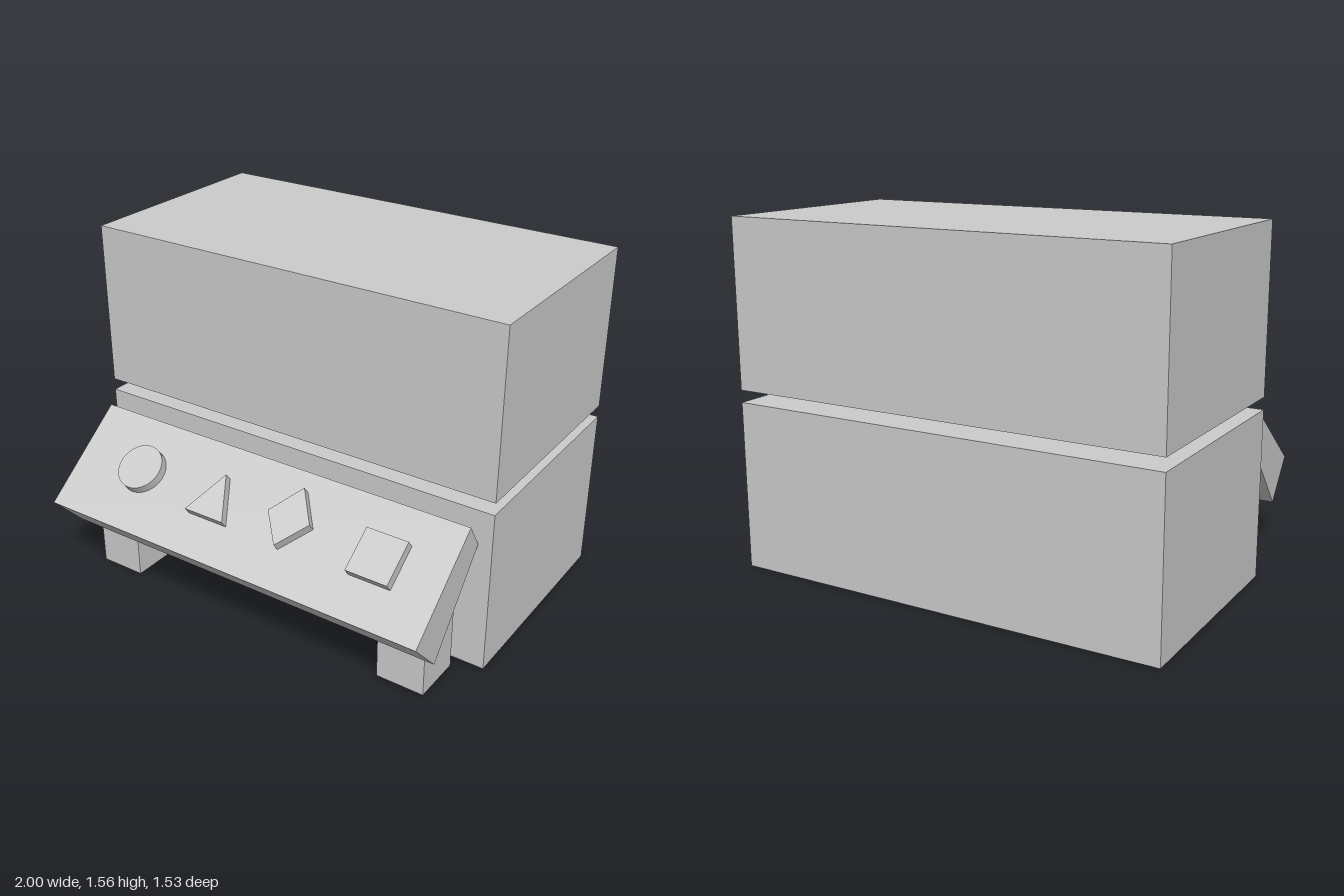
import * as THREE from 'three';

const material = new THREE.MeshStandardMaterial({ color: 0xcccccc });

function addMesh(parent, name, geometry) {
  const mesh = new THREE.Mesh(geometry, material);
  mesh.name = name;
  parent.add(mesh);
  return mesh;
}

// Box given by its lower and upper corners
function addBox(parent, name, [x0, y0, z0], [x1, y1, z1]) {
  const mesh = addMesh(parent, name, new THREE.BoxGeometry(x1 - x0, y1 - y0, z1 - z0));
  mesh.position.set((x0 + x1) / 2, (y0 + y1) / 2, (z0 + z1) / 2);
}

function prism(points, depth) {
  const shape = new THREE.Shape(points.map(([x, y]) => new THREE.Vector2(x, y)));
  return new THREE.ExtrudeGeometry(shape, { depth, bevelEnabled: false });
}

export function createModel() {
  const model = new THREE.Group();
  model.name = 'controlConsole';

  // Two stacked cabinets with an open gap between them
  addBox(model, 'lowerCabinet', [-1, 0, -0.765], [1, 0.755, 0.255]);
  addBox(model, 'upperCabinet', [-1, 0.81, -0.765], [1, 1.56, 0.255]);

  // Legs under the console
  addBox(model, 'rightLeg', [-0.87, 0.003, 0.315], [-0.65, 0.513, 0.545]);
  addBox(model, 'leftLeg', [0.655, 0.003, 0.315], [0.877, 0.513, 0.545]);

  // Sloping console: side profile in (z, y), drawn across x, slightly skewed
  const width = 1.895;
  const profile = [[0.335, 0.72], [0.255, 0.6], [0.6, 0.23], [0.765, 0.405]];
  const desk = prism(profile, width);
  desk.rotateY(-Math.PI / 2).translate(width / 2, 0, 0);
  const pos = desk.attributes.position;
  for (let i = 0; i < pos.count; i++) {
    pos.setX(i, pos.getX(i) + 0.034 * (pos.getZ(i) - 0.55));
  }
  desk.computeVertexNormals();
  addMesh(model, 'consoleDesk', desk);

  // Raised buttons, laid out in the plane of the sloping top
  const buttons = new THREE.Group();
  buttons.name = 'buttons';
  buttons.position.set(0, 0.5125, 0.618);
  buttons.rotation.x = -Math.atan2(0.43, 0.315);
  model.add(buttons);

  const height = 0.044;
  const round = new THREE.CylinderGeometry(0.107, 0.107, height, 48);
  round.rotateX(Math.PI / 2).translate(-0.585, 0.105, height / 2);
  addMesh(buttons, 'roundButton', round);

  const outlines = {
    triangleButton: [[-0.26, 0], [-0.06, 0], [-0.16, 0.205]],
    diamondButton: [[0.215, -0.01], [0.32, 0.122], [0.215, 0.265], [0.11, 0.122]],
    squareButton: [[0.555, 0], [0.75, 0], [0.75, 0.198], [0.555, 0.198]],
  };
  for (const [name, points] of Object.entries(outlines)) {
    addMesh(buttons, name, prism(points, height));
  }

  return model;
}
